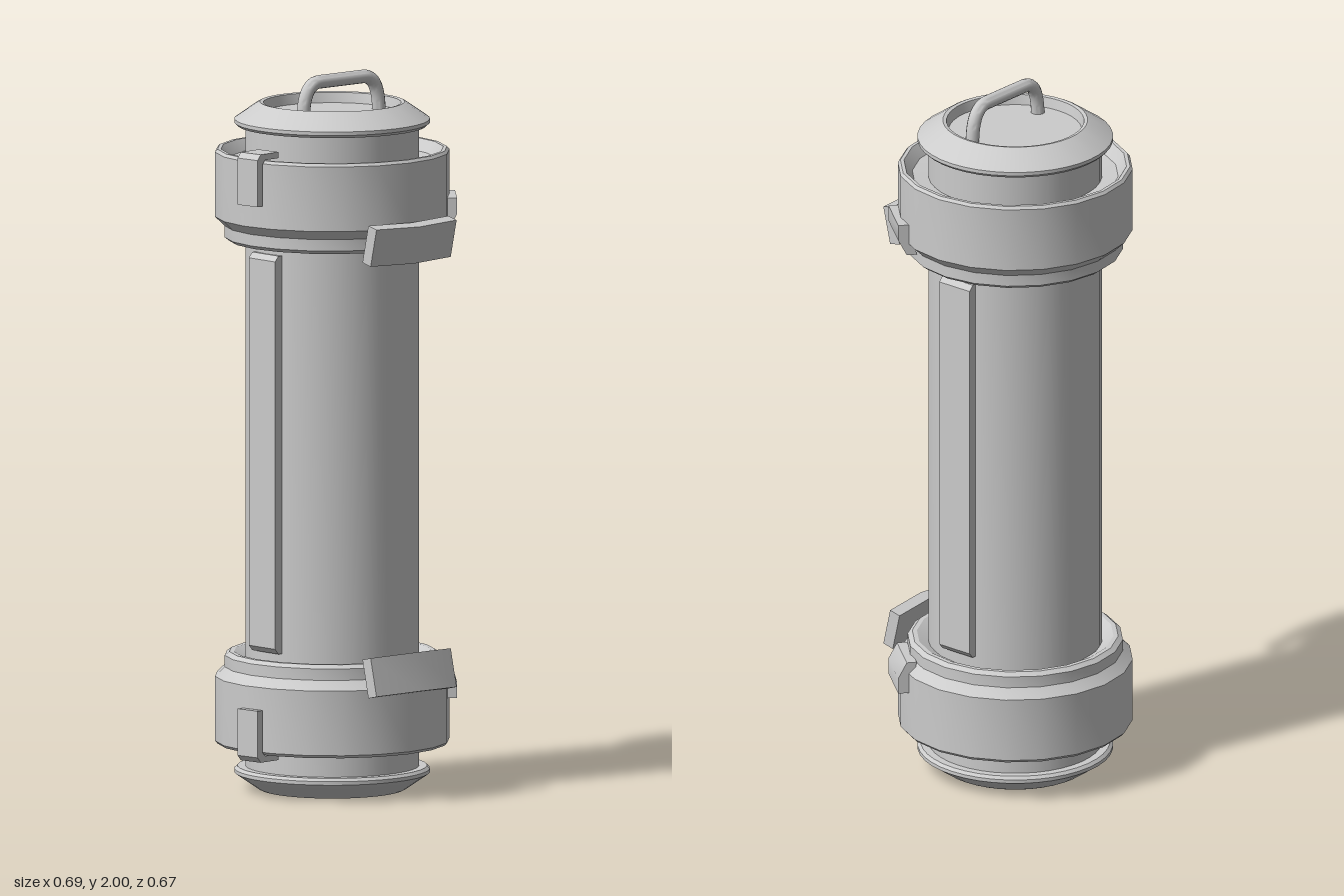
import * as THREE from 'three';
import { toCreasedNormals } from 'three/addons/utils/BufferGeometryUtils.js';

const MID = 0.9575; // height of the mirror plane between the two ends
const material = new THREE.MeshStandardMaterial({ color: 0xcccccc });

function mesh(name, geometry, crease = 0.5) {
  const m = new THREE.Mesh(toCreasedNormals(geometry, crease), material);
  m.name = name;
  return m;
}

// Turns [radius, y] pairs around the vertical axis
function lathe(name, profile, sides = 20) {
  return mesh(name, new THREE.LatheGeometry(profile.map(([r, y]) => new THREE.Vector2(r, y)), sides));
}

const flip = (profile) => profile.map(([r, y]) => [r, 2 * MID - y]).reverse();

function extrude(points, depth) {
  const shape = new THREE.Shape(points.map(([x, y]) => new THREE.Vector2(x, y)));
  return new THREE.ExtrudeGeometry(shape, { depth, bevelEnabled: false }).translate(0, 0, -depth / 2);
}

// Clip section of [radius, height above the middle], facing +z
function clip(section, width) {
  return extrude(section.map(([r, y]) => [r, y - MID]), width).rotateY(-Math.PI / 2);
}

export function createModel() {
  const model = new THREE.Group();
  model.name = 'canister';
  const body = new THREE.Group();
  body.name = 'canisterBody';
  body.position.set(-0.024, 0, -0.01);
  model.add(body);

  // Tube with a bevelled, dished cap at each end
  const cap = [[0.24, 1.85], [0.262, 1.85], [0.27, 1.858], [0.27, 1.868], [0.208, 1.911],
    [0.2, 1.915], [0.19, 1.913], [0.184, 1.885], [0, 1.885]];
  body.add(lathe('tubeAndCaps', [...flip(cap), ...cap], 40));

  // Stepped collars with sunken edges
  const collar = [[0.235, 1.55], [0.272, 1.53], [0.285, 1.53], [0.298, 1.54], [0.298, 1.572],
    [0.325, 1.598], [0.325, 1.778], [0.318, 1.786], [0.308, 1.786], [0.285, 1.755], [0.235, 1.75]];
  body.add(lathe('upperCollar', collar), lathe('lowerCollar', flip(collar)));

  // Long raised strips, front and back
  for (const side of [1, -1]) {
    const strip = mesh('bodyStrip', extrude(
      [[0.22, -0.555], [0.245, -0.555], [0.258, -0.54], [0.258, 0.54], [0.245, 0.555], [0.22, 0.555]],
      0.11).rotateY(-Math.PI / 2 * side));
    strip.position.y = MID;
    body.add(strip);
  }

  // Fittings on both collars; the lower set is the upper one turned over
  const hook = clip([[0.26, 1.788], [0.315, 1.788], [0.325, 1.778], [0.325, 1.66], [0.346, 1.66],
    [0.346, 1.79], [0.333, 1.805], [0.26, 1.805]], 0.075);
  const catchPlate = clip([[0.29, 1.565], [0.318, 1.565], [0.342, 1.61], [0.342, 1.655], [0.31, 1.655]], 0.15);
  const latch = extrude([[-0.147, -0.025], [0, -0.01], [0.147, -0.025], [0.147, 0.01], [0, 0.025], [-0.147, 0.01]], 0.108)
    .rotateX(Math.PI / 2 + 0.23)
    .translate(0, 1.558 - MID, 0.331);
  const fittings = [['rimHook', hook, 0.11], ['catchPlate', catchPlate, 2.46], ['latchHandle', latch, Math.PI / 2]];
  for (const [name, geometry, angle] of fittings) {
    for (const turn of [0, Math.PI]) {
      const holder = new THREE.Group();
      holder.name = name;
      holder.position.y = MID;
      holder.rotation.y = angle;
      const part = mesh(name, geometry);
      part.rotation.z = turn;
      holder.add(part);
      body.add(holder);
    }
  }

  // Carrying handle on the top cap
  const path = new THREE.CurvePath();
  const v = (y, z) => new THREE.Vector3(0.013, y, z);
  path.add(new THREE.LineCurve3(v(1.875, 0.13), v(1.91, 0.127)));
  path.add(new THREE.QuadraticBezierCurve3(v(1.91, 0.127), v(1.981, 0.118), v(1.981, 0.07)));
  path.add(new THREE.LineCurve3(v(1.981, 0.07), v(1.981, -0.09)));
  path.add(new THREE.QuadraticBezierCurve3(v(1.981, -0.09), v(1.981, -0.138), v(1.91, -0.147)));
  path.add(new THREE.LineCurve3(v(1.91, -0.147), v(1.875, -0.15)));
  model.add(mesh('topHandle', new THREE.TubeGeometry(path, 40, 0.019, 12), 1));

  return model;
}
